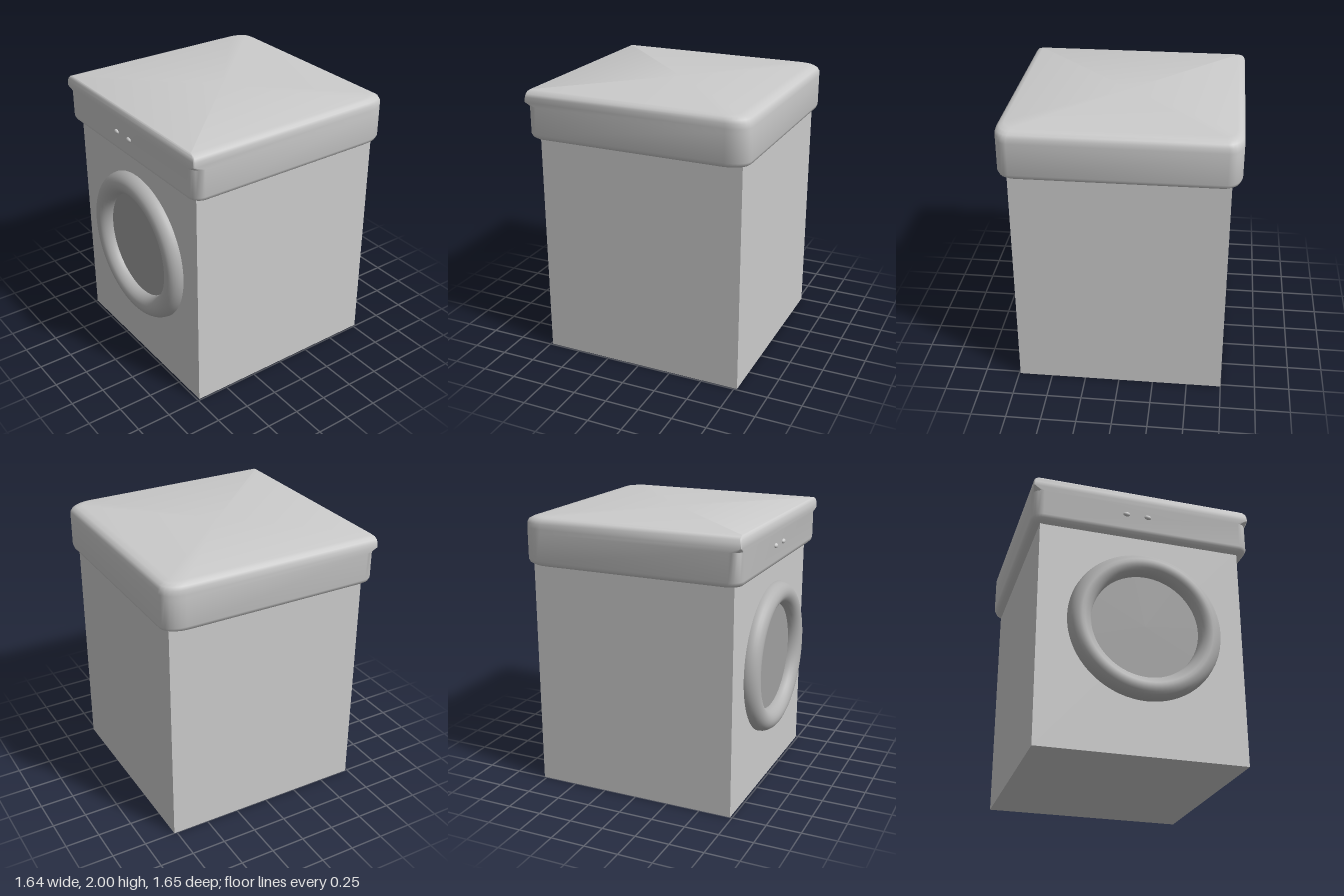
import * as THREE from 'three';
import { toCreasedNormals } from 'three/addons/utils/BufferGeometryUtils.js';

const material = (color = 0xcccccc) => new THREE.MeshStandardMaterial({ color });

function addPart(parent, name, geometry, mat, x = 0, y = 0, z = 0) {
  const mesh = new THREE.Mesh(geometry, mat);
  mesh.name = name;
  mesh.position.set(x, y, z);
  parent.add(mesh);
  return mesh;
}

// Rounded rectangle at one height, with separate front and back corner radii
function ring({ y, w, front, back, rf, rb }) {
  const steps = 6;
  const corners = [
    [1, front, rf, rf, 0], [-1, front, rf, rf, 1],
    [-1, back, rb, rb * 1.5, 2], [1, back, rb, rb * 1.5, 3],
  ];
  const points = [];
  for (const [side, z, rx, rz, quarter] of corners) {
    const cx = side * (w - rx);
    const cz = quarter < 2 ? z - rz : z + rz;
    for (let i = 0; i <= steps; i++) {
      const a = (quarter + i / steps) * Math.PI / 2;
      points.push([cx + rx * Math.cos(a), y, cz + rz * Math.sin(a)]);
    }
  }
  return points;
}

// Skin stacked rings and close both ends
function loft(sections) {
  const rings = sections.map(ring);
  const n = rings[0].length;
  const last = rings.length - 1;
  const positions = rings.flat(2);
  const index = [];
  for (let i = 0; i < last; i++) {
    for (let j = 0; j < n; j++) {
      const k = (j + 1) % n;
      const a = i * n + j, b = i * n + k, c = a + n, d = b + n;
      index.push(a, c, b, b, c, d);
    }
  }
  const bottom = n * rings.length, top = bottom + 1;
  positions.push(0, sections[0].y, 0, 0, sections[last].y, 0);
  for (let j = 0; j < n; j++) {
    const k = (j + 1) % n;
    index.push(bottom, j, k, top, last * n + k, last * n + j);
  }
  const geo = new THREE.BufferGeometry();
  geo.setAttribute('position', new THREE.Float32BufferAttribute(positions, 3));
  geo.setIndex(index);
  return toCreasedNormals(geo, 0.75);
}

export function createModel() {
  const group = new THREE.Group();
  group.name = 'washingMachine';
  const grey = material();

  // Plain cabinet
  addPart(group, 'cabinet', new THREE.BoxGeometry(1.49, 1.68, 1.505), grey, -0.005, 0.84, -0.018);

  // Control housing: rounded underside, round front corners, square lip on top
  addPart(group, 'controlHousing', loft([
    { y: 1.65, w: 0.76, front: 0.74, back: -0.76, rf: 0.06, rb: 0.09 },
    { y: 1.657, w: 0.79, front: 0.772, back: -0.795, rf: 0.08, rb: 0.1 },
    { y: 1.672, w: 0.81, front: 0.787, back: -0.814, rf: 0.08, rb: 0.1 },
    { y: 1.695, w: 0.818, front: 0.795, back: -0.822, rf: 0.08, rb: 0.1 },
    { y: 1.89, w: 0.818, front: 0.795, back: -0.822, rf: 0.08, rb: 0.1 },
    { y: 1.92, w: 0.818, front: 0.803, back: -0.822, rf: 0.01, rb: 0.1 },
    { y: 1.955, w: 0.818, front: 0.8, back: -0.82, rf: 0.01, rb: 0.1 },
    { y: 1.978, w: 0.81, front: 0.797, back: -0.808, rf: 0.01, rb: 0.1 },
    { y: 1.993, w: 0.793, front: 0.792, back: -0.78, rf: 0.01, rb: 0.09 },
    { y: 2, w: 0.765, front: 0.785, back: -0.735, rf: 0.01, rb: 0.07 },
  ]), grey);

  // Two small oval buttons on the housing
  const button = new THREE.SphereGeometry(1, 20, 12).scale(0.026, 0.017, 0.015);
  for (const x of [-0.13, 0.03]) addPart(group, 'button', button, grey, x, 1.805, 0.796);

  // Round door: bulging rim around a flat window
  const door = new THREE.Group();
  door.name = 'door';
  door.position.set(0.015, 0.945, 0.735);
  group.add(door);
  addPart(door, 'doorRim', new THREE.TorusGeometry(0.472, 0.083, 24, 72).scale(1, 1, 1.08), material(0xb2b2b2));
  addPart(door, 'doorWindow', new THREE.CircleGeometry(0.43, 64), material(0x9f9f9f), 0, 0, 0.005);

  return group;
}
